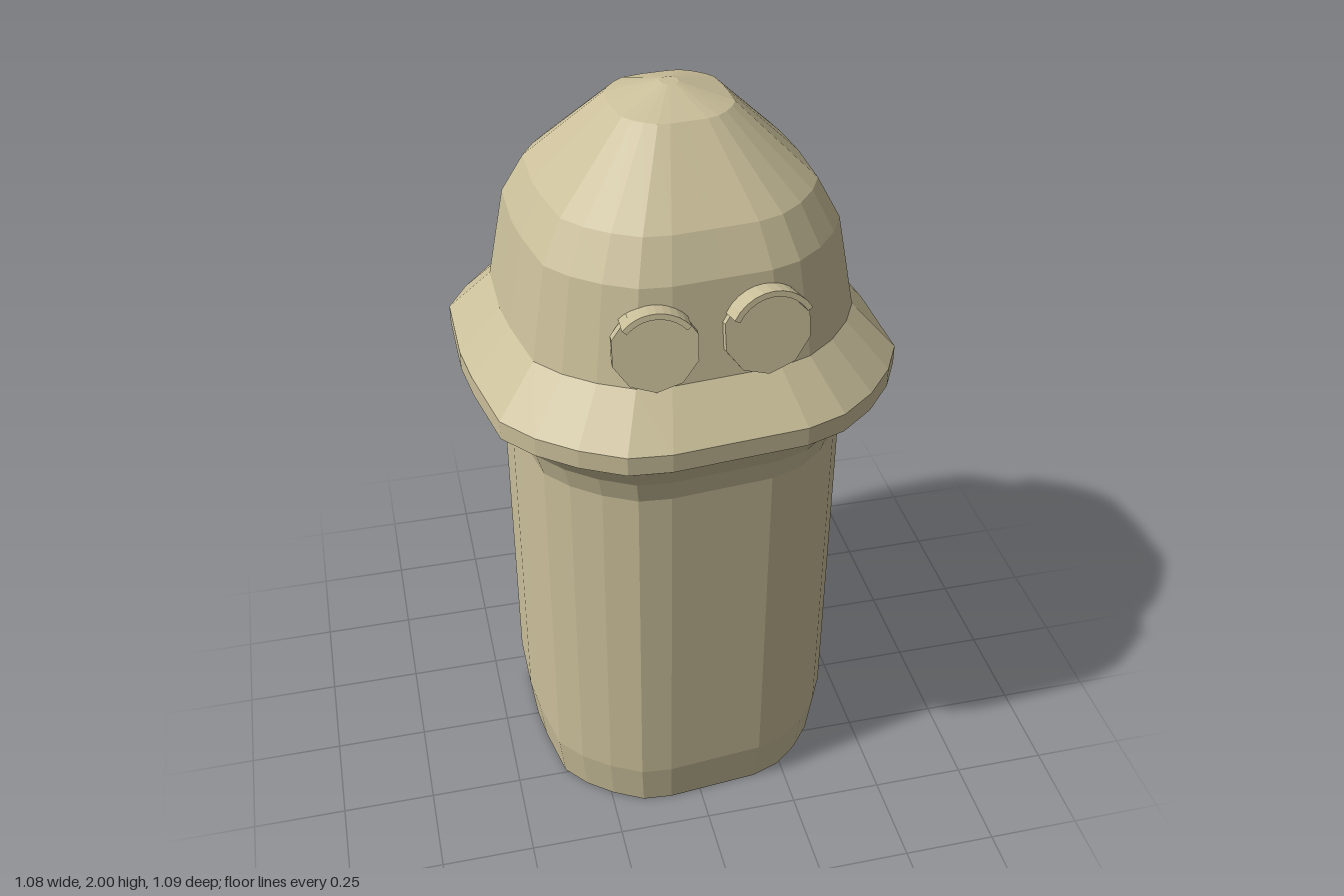
import * as THREE from 'three';

const material = new THREE.MeshStandardMaterial({ color: 0xcabf9a, flatShading: true, side: THREE.DoubleSide });

// Uneven rounded-square outline (x, z) shared by every horizontal section
const outline = [
  [-0.32, -0.49], [-0.12, -0.53], [0.10, -0.545], [0.22, -0.54], [0.32, -0.49],
  [0.415, -0.415], [0.485, -0.325], [0.51, -0.20], [0.53, -0.03], [0.535, 0.22],
  [0.485, 0.315], [0.41, 0.405], [0.32, 0.475], [0.22, 0.51], [0.05, 0.525],
  [-0.115, 0.54], [-0.22, 0.53], [-0.325, 0.475], [-0.415, 0.405], [-0.485, 0.32],
  [-0.525, 0.12], [-0.54, 0], [-0.54, -0.225], [-0.485, -0.32], [-0.41, -0.415],
];

// Skin the outline along a profile of [scale, height] pairs
function loft(name, profile) {
  const n = outline.length;
  const positions = [];
  const index = [];
  for (const [s, y] of profile) for (const [x, z] of outline) positions.push(x * s, y, z * s);
  for (let j = 0; j < profile.length - 1; j++) {
    for (let i = 0; i < n; i++) {
      const k = (i + 1) % n;
      const a = j * n + i, b = j * n + k, c = a + n, d = b + n;
      if (profile[j + 1][0] > 0) index.push(a, c, d);
      if (profile[j][0] > 0) index.push(a, d, b);
    }
  }
  const geometry = new THREE.BufferGeometry();
  geometry.setAttribute('position', new THREE.Float32BufferAttribute(positions, 3));
  geometry.setIndex(index);
  geometry.computeVertexNormals();
  const mesh = new THREE.Mesh(geometry, material);
  mesh.name = name;
  return mesh;
}

// Round eye lying on the dome, with a thin curved lid over its top
function eye(name, x, y, z, yaw, radius, halfAngle) {
  const group = new THREE.Group();
  group.name = name;
  group.position.set(x, y, z);
  group.rotation.set(-0.18, yaw, 0, 'YXZ');

  const disc = new THREE.Mesh(new THREE.CylinderGeometry(radius, radius, 0.03, 10), material);
  disc.name = name + 'Disc';
  disc.rotation.x = Math.PI / 2;
  disc.position.z = -0.01;

  const lidShape = new THREE.Shape();
  const up = Math.PI / 2;
  lidShape.absarc(0, 0, radius, up - halfAngle, up + halfAngle, false);
  lidShape.absarc(0, 0, radius - 0.014, up + halfAngle, up - halfAngle, true);
  const lid = new THREE.Mesh(
    new THREE.ExtrudeGeometry(lidShape, { depth: 0.075, bevelEnabled: false, curveSegments: 5 }), material);
  lid.name = name + 'Lid';
  lid.position.z = -0.03;

  group.add(disc, lid);
  return group;
}

export function createModel() {
  const model = new THREE.Group();
  model.name = 'domedPost';

  // Column with a chamfered foot and a flared collar
  model.add(loft('column', [
    [0, 0], [0.75, 0], [0.78, 0.13], [0.78, 1.10], [0.815, 1.165],
    [0.895, 1.23], [0.86, 1.275], [0, 1.275],
  ]));

  // Dome cap with its overhanging brim
  model.add(loft('domeCap', [
    [0.8, 1.275], [1, 1.275], [1, 1.325], [0.8, 1.44], [0.72, 1.68],
    [0.62, 1.78], [0.27, 1.96], [0.04, 2], [0, 2],
  ]));

  model.add(eye('rightEye', -0.13, 1.54, 0.422, -0.08, 0.105, 0.85));
  model.add(eye('leftEye', 0.14, 1.545, 0.404, 0.1, 0.11, 1.05));
  return model;
}
